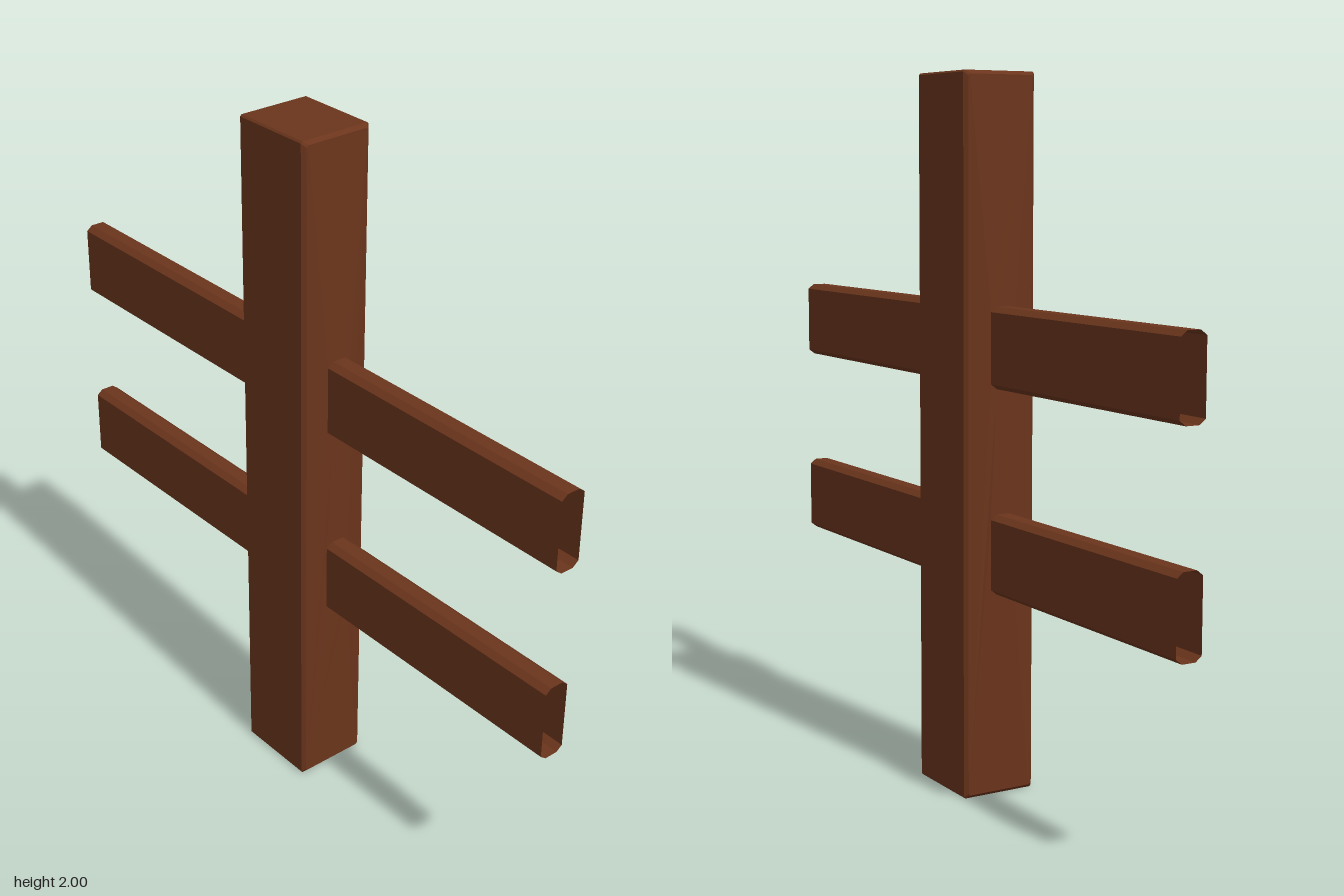
import * as THREE from 'three';

const wood = new THREE.MeshStandardMaterial({ color: 0x6b351c, flatShading: true });
const thinWood = wood.clone();
thinWood.side = THREE.DoubleSide;

// Counter-clockwise rectangle with cut corners, centred on x = 0
function chamferedRect(halfX, halfY, centreY, cutX, cutY) {
  const corner = [[1, -1, 0, 1], [1, 1, 1, 0], [-1, 1, 0, 1], [-1, -1, 1, 0]];
  const points = [];
  for (const [sx, sy, xFirst] of corner) {
    const onSide = new THREE.Vector2(sx * halfX, centreY + sy * (halfY - cutY));
    const onEnd = new THREE.Vector2(sx * (halfX - cutX), centreY + sy * halfY);
    points.push(...(xFirst ? [onSide, onEnd] : [onEnd, onSide]));
  }
  return points;
}

// Flat-sided skin through cross-sections [points, z], ordered back to front
function loft(sections) {
  const positions = [];
  for (let k = 0; k < sections.length - 1; k++) {
    const [back, z0] = sections[k];
    const [front, z1] = sections[k + 1];
    for (let i = 0; i < back.length; i++) {
      const j = (i + 1) % back.length;
      const a = [back[i].x, back[i].y, z0], b = [back[j].x, back[j].y, z0];
      const c = [front[j].x, front[j].y, z1], d = [front[i].x, front[i].y, z1];
      positions.push(...a, ...b, ...c, ...a, ...c, ...d);
    }
  }
  const geometry = new THREE.BufferGeometry();
  geometry.setAttribute('position', new THREE.Float32BufferAttribute(positions, 3));
  geometry.computeVertexNormals();
  return geometry;
}

function addMesh(parent, name, geometry, material) {
  const mesh = new THREE.Mesh(geometry, material);
  mesh.name = name;
  parent.add(mesh);
  return mesh;
}

export function createModel() {
  const model = new THREE.Group();
  model.name = 'fencePost';

  const faceZ = 0.132, rimZ = 0.147;
  const railSections = [0.69, 1.26].map((y) => chamferedRect(0.038, 0.112, y, 0.018, 0.014));

  // Post: chamfered sides, top and bottom
  const post = new THREE.Group();
  post.name = 'post';
  model.add(post);
  const outer = chamferedRect(0.11, 1, 1, 0.005, 0.005);
  const inner = chamferedRect(0.1, 0.99, 1, 0.005, 0.005);
  addMesh(post, 'postSides', loft([[inner, -faceZ], [outer, -0.122], [outer, 0.122], [inner, faceZ]]), wood);

  // Post faces with rail slots; the slot rims swell outwards
  const faceShape = new THREE.Shape(inner);
  for (const section of railSections) faceShape.holes.push(new THREE.Path(section));
  const face = new THREE.ShapeGeometry(faceShape);
  const position = face.attributes.position;
  for (let i = 0; i < position.count; i++) {
    const onRim = Math.abs(position.getX(i)) < 0.05;
    position.setZ(i, onRim ? rimZ : faceZ);
  }
  addMesh(post, 'postFrontFace', face, wood);
  addMesh(post, 'postBackFace', face.clone().rotateY(Math.PI), wood);

  // Hollow rails, open at both ends, running through the slots
  railSections.forEach((section, i) => {
    addMesh(model, i ? 'upperRail' : 'lowerRail', loft([[section, -1], [section, 1]]), thinWood);
  });

  return model;
}
